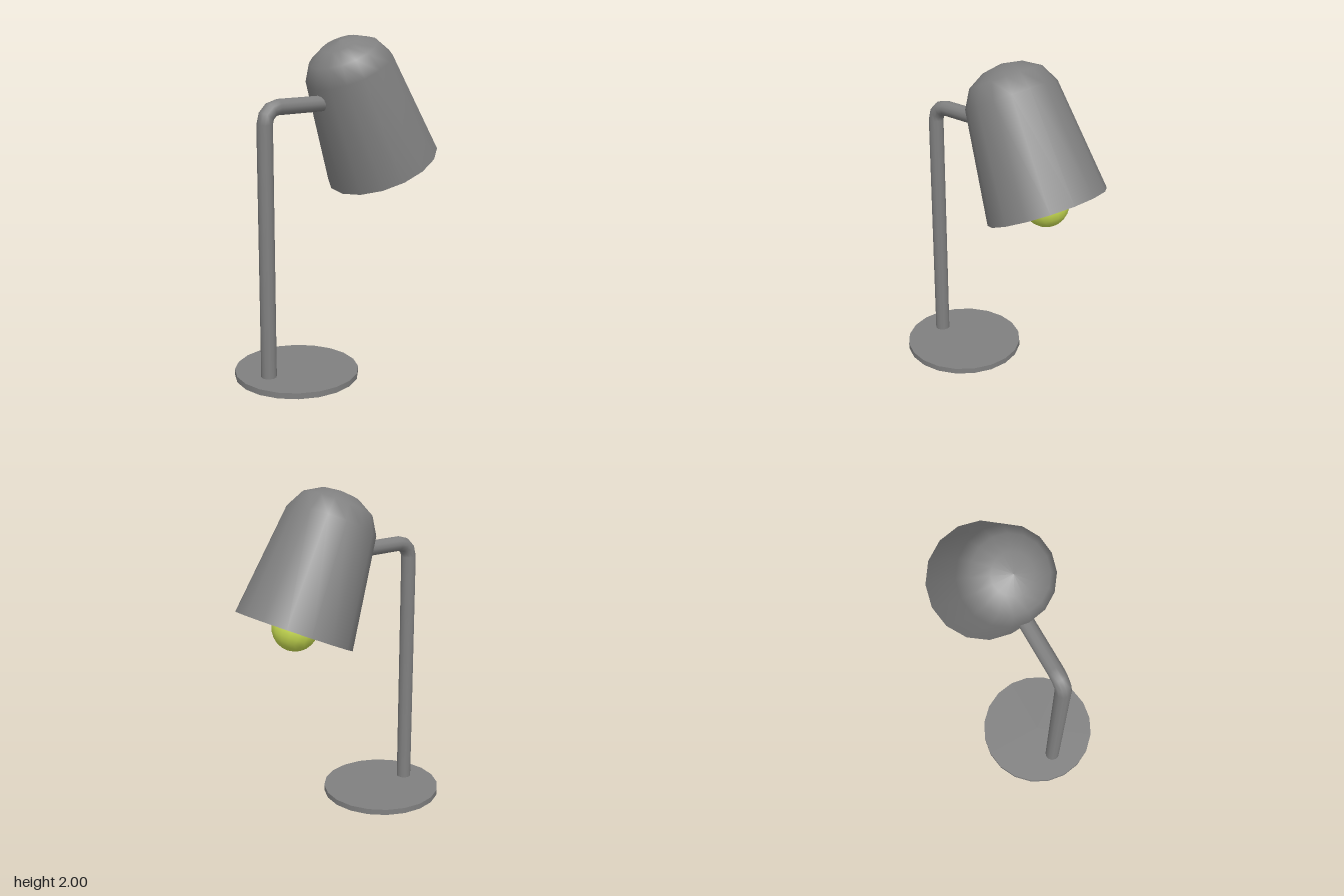
import * as THREE from 'three';

export function createModel() {
  const lamp = new THREE.Group();
  lamp.name = 'deskLamp';

  const grey = new THREE.MeshStandardMaterial({ color: 0x808080 });
  grey.name = 'grey metal';
  const yellow = new THREE.MeshStandardMaterial({ color: 0xc8dc52 });
  yellow.name = 'yellow glass';

  const add = (parent, name, geometry, material, x = 0, y = 0, z = 0) => {
    const mesh = new THREE.Mesh(geometry, material);
    mesh.name = name;
    mesh.position.set(x, y, z);
    parent.add(mesh);
    return mesh;
  };
  const lathe = (points, sides = 16) =>
    new THREE.LatheGeometry(points.map(([r, y]) => new THREE.Vector2(r, y)), sides);

  // Round base plate
  add(lamp, 'base', new THREE.CylinderGeometry(0.37, 0.37, 0.035, 20), grey, -0.32, 0.0175);

  // Pole, quarter bend and horizontal arm
  const poleX = -0.525, armY = 1.61, bend = 0.09, tube = 0.046;
  const bottom = 0.03, poleTop = armY - bend;
  const armStart = poleX + bend, armEnd = -0.08;
  add(lamp, 'pole', new THREE.CylinderGeometry(tube, tube, poleTop - bottom, 12), grey,
    poleX, (poleTop + bottom) / 2);
  add(lamp, 'bend', new THREE.TorusGeometry(bend, tube, 12, 3, Math.PI / 2), grey,
    armStart, poleTop).rotation.z = Math.PI / 2;
  add(lamp, 'arm', new THREE.CylinderGeometry(tube, tube, armEnd - armStart, 12), grey,
    (armStart + armEnd) / 2, armY).rotation.z = Math.PI / 2;

  // Tilted head, with its origin at the centre of the shade's rim
  const head = new THREE.Group();
  head.name = 'head';
  head.position.set(0.362, 1.203, 0);
  head.rotation.z = THREE.MathUtils.degToRad(24.7);
  lamp.add(head);

  // Shade: outer shell, flat rim and inner shell
  add(head, 'shadeOuter', lathe([
    [0.354, 0], [0.27, 0.66], [0.212, 0.763], [0.115, 0.82], [0, 0.84],
  ]), grey);
  add(head, 'shadeRim', lathe([[0.308, 0], [0.354, 0]]), grey);
  add(head, 'shadeInner', lathe([
    [0, 0.8], [0.1, 0.783], [0.18, 0.73], [0.23, 0.645], [0.308, 0],
  ]), grey);

  // Pear-shaped bulb hanging from its socket
  const bulb = [];
  for (let i = 0; i <= 8; i++) {
    const a = -Math.PI / 2 + (i / 8) * Math.PI * 0.7;
    bulb.push([Math.max(0, 0.135 * Math.cos(a)), 0.02 + 0.135 * Math.sin(a)]);
  }
  bulb.push([0.085, 0.17], [0.07, 0.23], [0.07, 0.32]);
  add(head, 'bulb', lathe(bulb), yellow);
  add(head, 'socket', new THREE.CylinderGeometry(0.08, 0.08, 0.5, 16), grey, 0, 0.55);

  return lamp;
}
